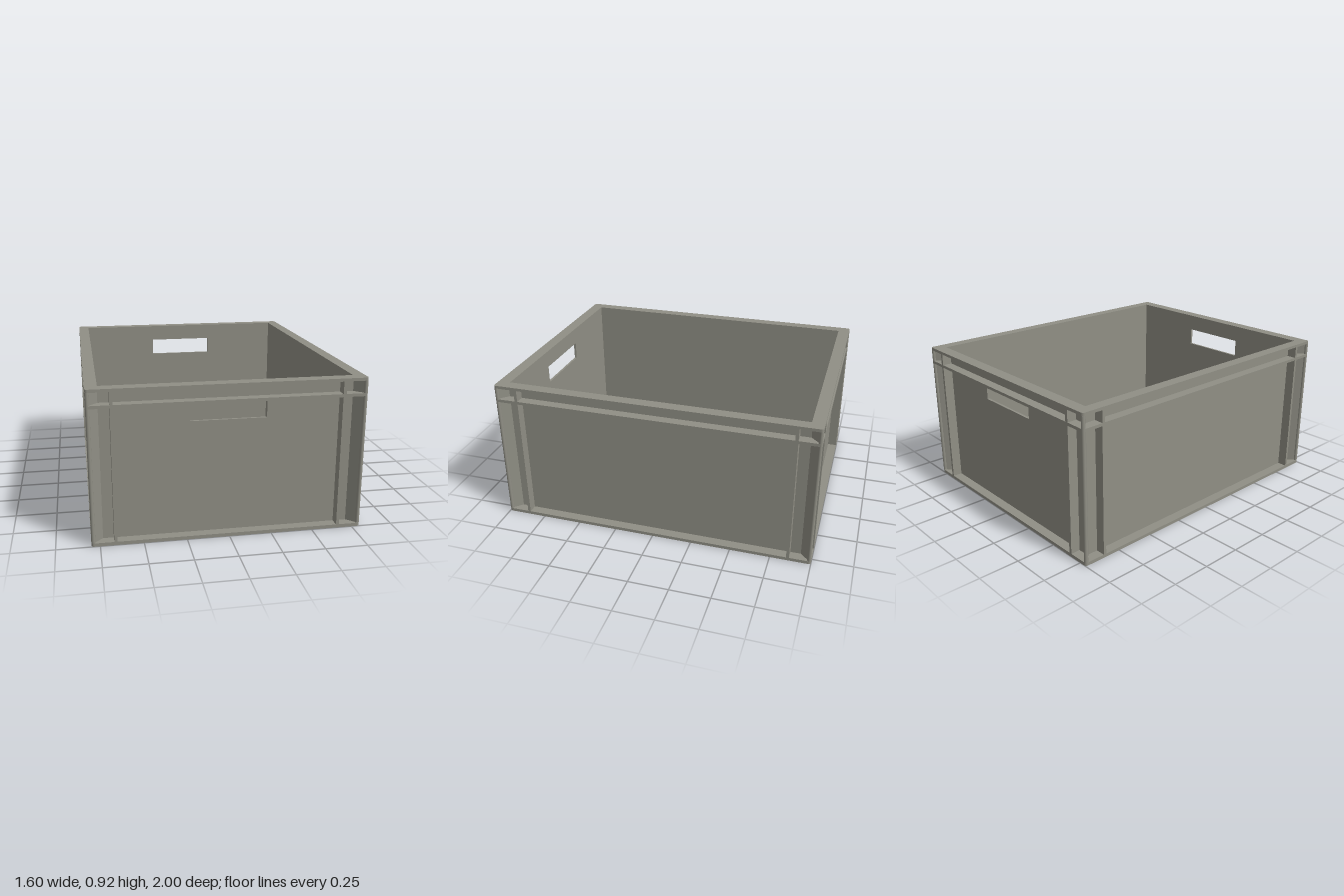
import * as THREE from 'three';

const X = 0.8, Z = 1, H = 0.92;      // outer half sizes and height
const WX = 0.74, WZ = 0.94;          // outer face of the recessed walls
const IX = 0.73, IZ = 0.925;         // inner face of the walls
const T = 0.018;                     // flange and rib thickness

// Rectangle outline with rounded corners, centred on the origin
function roundedRect(shape, hx, hy, r) {
  shape.moveTo(-hx + r, -hy);
  shape.lineTo(hx - r, -hy).absarc(hx - r, -hy + r, r, -Math.PI / 2, 0);
  shape.lineTo(hx, hy - r).absarc(hx - r, hy - r, r, 0, Math.PI / 2);
  shape.lineTo(-hx + r, hy).absarc(-hx + r, hy - r, r, Math.PI / 2, Math.PI);
  shape.lineTo(-hx, -hy + r).absarc(-hx + r, -hy + r, r, Math.PI, Math.PI * 1.5);
  return shape;
}

function rectHole(x0, y0, x1, y1) {
  return new THREE.Path([[x0, y0], [x0, y1], [x1, y1], [x1, y0]].map(p => new THREE.Vector2(...p)));
}

// Horizontal plate between two heights, optionally open in the middle
function plate(y0, y1, open) {
  const shape = roundedRect(new THREE.Shape(), X, Z, 0.016);
  if (open) shape.holes.push(rectHole(-IX, -IZ, IX, IZ));
  const geo = new THREE.ExtrudeGeometry(shape, { depth: y1 - y0, bevelEnabled: false, curveSegments: 6 });
  return geo.rotateX(-Math.PI / 2).translate(0, y0, 0);
}

export function createModel() {
  const crate = new THREE.Group();
  crate.name = 'storageCrate';
  const plastic = new THREE.MeshStandardMaterial({ color: 0x908f85 });
  plastic.name = 'greyPlastic';

  function add(name, geo, x = 0, y = 0, z = 0, ry = 0) {
    const mesh = new THREE.Mesh(geo, plastic);
    mesh.name = name;
    mesh.position.set(x, y, z);
    mesh.rotation.y = ry;
    crate.add(mesh);
  }

  // Floor, mid flange and top rim
  add('floor', plate(0, 0.02, false));
  add('midFlange', plate(0.811, 0.829, true));
  add('topRim', plate(0.902, H, true));

  // End walls with a hand slot
  const endShape = new THREE.Shape([[-WX, 0.02], [WX, 0.02], [WX, 0.902], [-WX, 0.902]]
    .map(p => new THREE.Vector2(...p)));
  endShape.holes.push(rectHole(-0.223, 0.697, 0.223, 0.811));
  const endGeo = new THREE.ExtrudeGeometry(endShape, { depth: WZ - IZ, bevelEnabled: false });
  add('frontWall', endGeo, 0, 0, IZ);
  add('backWall', endGeo, 0, 0, -IZ, Math.PI);

  // Plain side walls
  const wallH = 0.902 - 0.02, midY = (0.902 + 0.02) / 2;
  const sideGeo = new THREE.BoxGeometry(WX - IX, wallH, IZ * 2);
  for (const s of [-1, 1]) add(s > 0 ? 'leftWall' : 'rightWall', sideGeo, s * (WX + IX) / 2, midY, 0);

  // Upright ribs beside each corner, plus a diagonal web ending in a round post
  const depthX = X - WX, depthZ = Z - WZ;
  const endRib = new THREE.BoxGeometry(T, wallH, depthZ);
  const sideRib = new THREE.BoxGeometry(depthX, wallH, T);
  const web = new THREE.BoxGeometry(0.085, wallH, 0.012);
  const post = new THREE.CylinderGeometry(0.012, 0.012, wallH, 16);
  for (const sx of [-1, 1]) for (const sz of [-1, 1]) {
    add('endRib', endRib, sx * 0.661, midY, sz * (WZ + Z) / 2);
    add('sideRib', sideRib, sx * (WX + X) / 2, midY, sz * 0.859);
    add('cornerWeb', web, sx * 0.76, midY, sz * 0.96, -sx * sz * Math.PI / 4);
    add('cornerPost', post, sx * 0.788, midY, sz * 0.988);
  }
  return crate;
}
